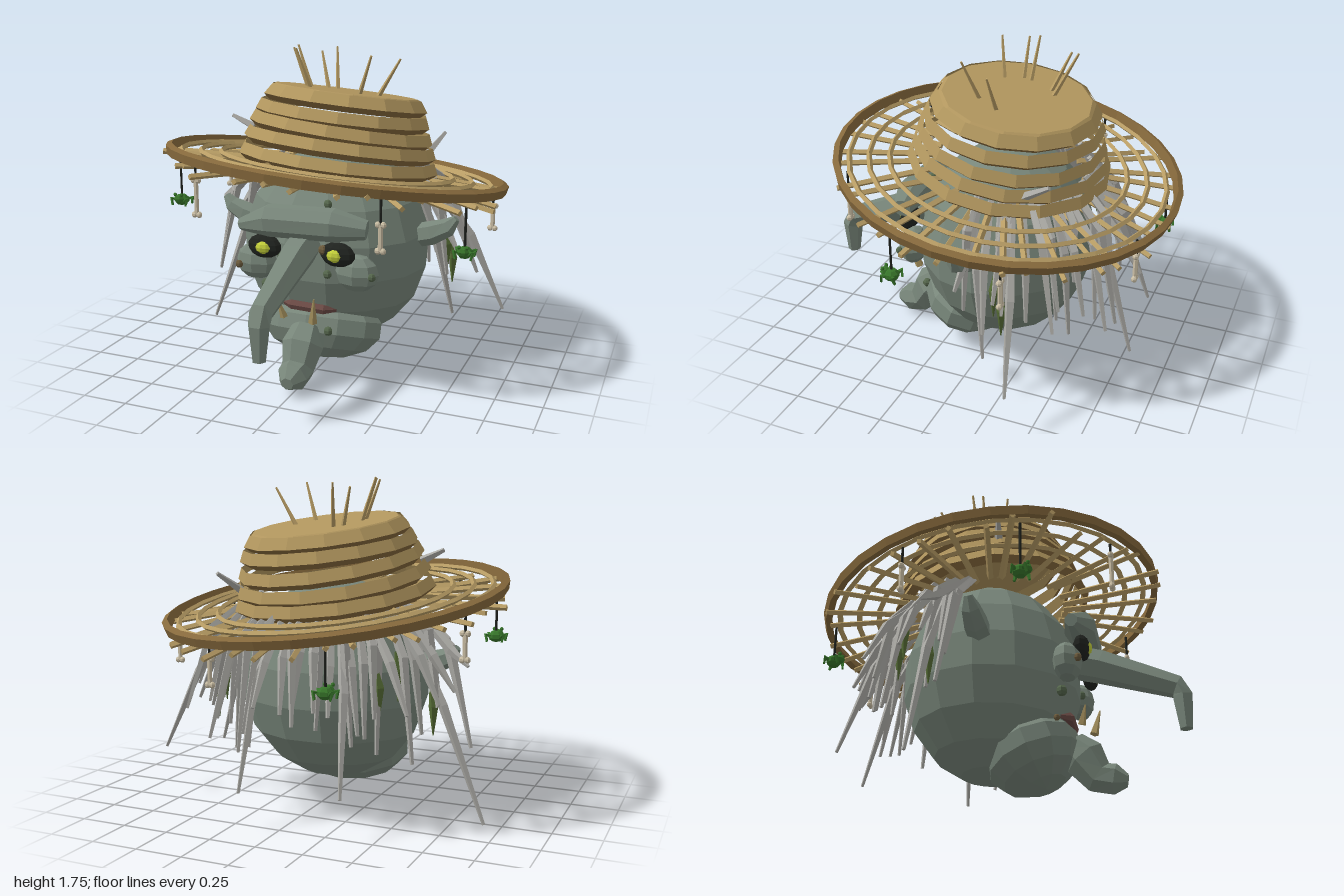
import * as THREE from 'three';

const V = (x, y, z) => new THREE.Vector3(x, y, z);
const mat = (color, side = THREE.FrontSide) => new THREE.MeshStandardMaterial({ color, flatShading: true, side });
const skin = mat(0x78867a), straw = mat(0xb1965e, THREE.DoubleSide), darkStraw = mat(0x86693c), paleStraw = mat(0xb79c64);
const hairMat = mat(0xabaaa5), black = mat(0x20231f), yellow = mat(0xc3cf3a), bone = mat(0xcbbfa5), lip = mat(0x6b4a45);
const frogGreen = mat(0x37752a), leafGreen = mat(0x556b35), wartBrown = mat(0x6b5a3c), wartGreen = mat(0x55664c), toothMat = mat(0xa8935f);

let seed = 11;
const rnd = (a = 0, b = 1) => {
  seed = (seed * 16807) % 2147483647;
  return a + (b - a) * seed / 2147483647;
};

function add(parent, name, geometry, material, pos) {
  const m = new THREE.Mesh(geometry, material);
  m.name = name;
  if (pos) m.position.copy(pos);
  parent.add(m);
  return m;
}

// Low-poly ellipsoid
function blob(parent, name, pos, r, material, w = 8, h = 6) {
  const g = new THREE.SphereGeometry(1, w, h);
  g.scale(r.x, r.y, r.z);
  return add(parent, name, g, material, pos);
}

// Capped limb through a few points, with one radius per point
function limb(parent, name, pts, radii, material, sides = 5) {
  const pos = [], idx = [], n = pts.length;
  let u = V(1, 0.013, 0.021);
  pts.forEach((p, i) => {
    const t = pts[Math.min(i + 1, n - 1)].clone().sub(pts[Math.max(i - 1, 0)]).normalize();
    u = u.clone().addScaledVector(t, -u.dot(t)).normalize();
    const v = t.clone().cross(u);
    for (let j = 0; j < sides; j++) {
      const a = j / sides * Math.PI * 2;
      const q = p.clone().addScaledVector(u, Math.cos(a) * radii[i]).addScaledVector(v, Math.sin(a) * radii[i]);
      pos.push(q.x, q.y, q.z);
    }
  });
  for (let i = 0; i < n - 1; i++) for (let j = 0; j < sides; j++) {
    const a = i * sides + j, b = i * sides + (j + 1) % sides;
    idx.push(a, b, a + sides, b, b + sides, a + sides);
  }
  const e = (n - 1) * sides;
  for (let j = 1; j < sides - 1; j++) idx.push(0, j + 1, j, e, e + j, e + j + 1);
  const g = new THREE.BufferGeometry();
  g.setAttribute('position', new THREE.Float32BufferAttribute(pos, 3));
  g.setIndex(idx);
  g.computeVertexNormals();
  return add(parent, name, g, material);
}

function makeHead() {
  const head = new THREE.Group();
  head.name = 'head';
  blob(head, 'skull', V(0, 0.67, -0.06), V(0.53, 0.55, 0.485), skin, 14, 9);
  const jaw = blob(head, 'jaw', V(0, 0.25, 0.16), V(0.35, 0.19, 0.265), skin, 12, 7);
  jaw.rotation.x = -0.35;
  limb(head, 'chin', [V(0, 0.29, 0.36), V(0, 0.22, 0.43), V(0, 0.115, 0.5), V(0, 0.1, 0.58), V(0, 0.09, 0.645)],
    [0.09, 0.115, 0.09, 0.083, 0.035], skin, 7);
  limb(head, 'nose', [V(0, 0.79, 0.33), V(0, 0.735, 0.53), V(0, 0.585, 0.93), V(0, 0.53, 0.955), V(0, 0.35, 0.96)],
    [0.095, 0.092, 0.062, 0.058, 0.036], skin, 6);
  limb(head, 'brow', [V(-0.355, 0.855, 0.42), V(-0.18, 0.9, 0.445), V(0.18, 0.91, 0.445), V(0.35, 0.895, 0.42)],
    [0.035, 0.087, 0.087, 0.05], skin, 8);

  // Lips and crooked teeth
  limb(head, 'lips', [V(-0.19, 0.405, 0.29), V(-0.09, 0.42, 0.365), V(0.09, 0.415, 0.365), V(0.18, 0.405, 0.29)],
    [0.01, 0.028, 0.028, 0.01], lip, 6);
  limb(head, 'toothRight', [V(-0.11, 0.37, 0.43), V(-0.135, 0.47, 0.455)], [0.022, 0.004], toothMat);
  limb(head, 'toothLeft', [V(0.075, 0.38, 0.475), V(0.095, 0.52, 0.51)], [0.025, 0.004], toothMat);

  for (const s of [1, -1]) {
    blob(head, 'eyeSocket', V(s * 0.205, 0.76, 0.455), V(0.096, 0.065, 0.045), black, 10, 7);
    blob(head, 'eye', V(s * 0.2, 0.76, 0.475), V(0.05, 0.038, 0.036), yellow, 9, 6);
    blob(head, 'cheek', V(s * 0.285, 0.65, 0.385), V(0.12, 0.1, 0.08), skin, 8, 6);
    limb(head, 'ear', [V(s * 0.44, 0.75, -0.03), V(s * 0.56, 0.78, -0.035), V(s * 0.65, 0.82, -0.04), V(s * 0.69, 0.87, -0.045)],
      [0.065, 0.065, 0.05, 0.022], skin, 6);
  }

  // Warts: x, y, z, radius, brown?
  [[-0.25, 0.51, 0.35, 0.03, 0], [-0.36, 0.64, 0.45, 0.022, 1], [-0.13, 0.7, 0.41, 0.024, 0], [0.13, 0.78, 0.47, 0.026, 1],
    [0.13, 0.63, 0.41, 0.024, 0], [0.13, 0.31, 0.4, 0.025, 0], [0.11, 0.99, 0.35, 0.024, 0], [-0.24, 0.37, 0.32, 0.018, 1],
    [0.38, 0.65, 0.43, 0.022, 0]].forEach(([x, y, z, r, brown]) =>
    blob(head, 'wart', V(x, y, z), V(r, r, r), brown ? wartBrown : wartGreen, 6, 5));
  return head;
}

function makeHat() {
  const hat = new THREE.Group();
  hat.name = 'hat';
  hat.position.set(0, 1.1, -0.06);
  hat.rotation.set(-0.14, 0, -0.077);

  // Crown of stacked bands, each set slightly askew on a dark flared joint
  [0.555, 0.535, 0.51, 0.485, 0.455].forEach((r, i) => {
    const tier = new THREE.Group(), top = r - (i < 4 ? 0.025 : 0.04);
    tier.name = 'crownTier';
    tier.position.y = 0.025 + i * 0.082;
    tier.rotation.set(i ? rnd(-0.025, 0.025) : 0, i * 0.1, i ? rnd(-0.025, 0.025) : 0);
    add(tier, 'band', new THREE.CylinderGeometry(top, r, 0.058, 14, 1, true), straw, V(0, 0.029, 0));
    add(tier, 'joint', new THREE.CylinderGeometry(r, r - 0.035, 0.03, 14, 1, true), darkStraw, V(0, -0.015, 0));
    hat.add(tier);
  });
  add(hat, 'crownTop', new THREE.CylinderGeometry(0.395, 0.42, 0.02, 14), straw, V(0, 0.405, 0));

  // Open woven brim
  const rim = [[0.9, -0.02], [0.935, -0.025], [0.945, 0.02], [0.915, 0.035], [0.9, -0.02]].map(p => new THREE.Vector2(...p));
  add(hat, 'brimRim', new THREE.LatheGeometry(rim, 32), darkStraw);
  for (const [r, y] of [[0.86, 0.0], [0.755, 0.005], [0.645, 0.01]])
    add(hat, 'brimRing', new THREE.TorusGeometry(r, 0.015, 4, 28).rotateX(Math.PI / 2), paleStraw, V(0, y, 0));
  for (let i = 0; i < 36; i++) {
    const a = i / 36 * Math.PI * 2 + rnd(-0.025, 0.025), b = a + rnd(-0.025, 0.025), r = rnd(0.89, 0.96);
    limb(hat, 'brimSpoke', [V(Math.cos(a) * 0.4, rnd(-0.03, 0.01), Math.sin(a) * 0.4),
      V(Math.cos(b) * r, rnd(-0.085, -0.02), Math.sin(b) * r)], [0.019, 0.016], paleStraw, 4);
  }
  return hat;
}

// Bent strands hanging round the sides and back
function makeHair() {
  const hair = new THREE.Group();
  hair.name = 'hair';
  const N = 38;
  for (let i = 0; i < N; i++) {
    const a = (i + rnd(-0.5, 0.5)) / (N - 1) * Math.PI;
    const at = (r, y, da) => V(Math.cos(a + da) * r, y, -0.06 - Math.sin(a + da) * r);
    const d = rnd(-0.1, 0.1), out = rnd(), tipY = rnd(0.34, 0.7);
    limb(hair, 'strand', [at(0.44, rnd(1.06, 1.14), 0), at(0.56 + out * 0.12, rnd(0.82, 0.98), d / 2), at(0.6 + out * 0.22, tipY, d)],
      [0.018, 0.026, 0.01], hairMat, 4);
  }
  // Long strands
  [[[-0.42, 1.1, -0.2], [-0.68, 0.6, -0.25], [-0.91, 0.01, -0.27]], [[0.42, 1.1, -0.25], [0.7, 0.7, -0.35], [0.89, 0.26, -0.4]],
    [[0.1, 1.05, -0.48], [0.16, 0.75, -0.68], [0.18, 0.2, -0.84]], [[-0.2, 1.05, -0.45], [-0.3, 0.7, -0.64], [-0.35, 0.22, -0.8]],
    [[0.45, 1.08, -0.05], [0.56, 0.75, -0.11], [0.65, 0.28, -0.18]], [[-0.45, 1.1, -0.1], [-0.7, 0.88, -0.2], [-0.81, 0.81, -0.25]]
  ].forEach(p => limb(hair, 'longStrand', p.map(q => V(...q)), [0.018, 0.026, 0.009], hairMat, 4));

  // Stray tufts through the hat
  limb(hair, 'tuft', [V(-0.45, 1.31, 0.06), V(-0.57, 1.37, 0.08)], [0.026, 0.012], hairMat, 4);
  limb(hair, 'tuft', [V(0.44, 1.15, -0.32), V(0.5, 1.25, -0.47)], [0.024, 0.012], hairMat, 4);
  return hair;
}

// Small hanging charm: body, head, eyes and splayed legs
function makeFrog(x, y, z, top) {
  const frog = new THREE.Group();
  frog.name = 'frogCharm';
  frog.position.set(x, y, z);
  limb(frog, 'string', [V(0, 0, 0), V(0, top - y, 0)], [0.007, 0.007], black, 4);
  blob(frog, 'frogBody', V(0, 0, 0), V(0.042, 0.033, 0.042), frogGreen, 7, 5);
  blob(frog, 'frogHead', V(0, 0.012, 0.035), V(0.032, 0.024, 0.025), frogGreen, 6, 4);
  for (const s of [1, -1]) {
    blob(frog, 'frogEye', V(s * 0.02, 0.035, 0.04), V(0.011, 0.011, 0.011), frogGreen, 5, 4);
    for (const k of [1, -1])
      limb(frog, 'frogLeg', [V(s * 0.025, 0, k * 0.02), V(s * 0.05, 0.01, k * 0.03), V(s * 0.04, -0.028, k * 0.038)],
        [0.012, 0.011, 0.007], frogGreen, 4);
  }
  return frog;
}

function makeBone(x, y, z, top, len = 0.13) {
  const g = new THREE.Group();
  g.name = 'boneCharm';
  g.position.set(x, y, z);
  limb(g, 'string', [V(0, len, 0), V(0, top - y, 0)], [0.007, 0.007], black, 4);
  limb(g, 'boneShaft', [V(0, 0, 0), V(0, len, 0)], [0.013, 0.013], bone, 6);
  for (const h of [0, len]) for (const s of [1, -1])
    blob(g, 'boneKnob', V(s * 0.013, h, 0), V(0.017, 0.017, 0.017), bone, 6, 5);
  return g;
}

export function createModel() {
  const model = new THREE.Group();
  model.name = 'witchHead';
  model.add(makeHead(), makeHat(), makeHair());

  // Loose straws on the crown: base x, z, tip x, z, y
  [[-0.08, -0.27, -0.13, -0.39, 1.72], [-0.12, -0.24, -0.2, -0.33, 1.7], [-0.16, -0.11, -0.26, -0.13, 1.75],
    [-0.16, -0.07, -0.26, -0.07, 1.74], [-0.11, 0.01, -0.19, 0.06, 1.75], [0.22, -0.08, 0.35, -0.08, 1.7],
    [0.15, 0.03, 0.25, 0.1, 1.73]].forEach(([x, z, tx, tz, ty]) =>
    limb(model, 'looseStraw', [V(x, 1.48, z), V(tx, ty, tz)], [0.014, 0.006], paleStraw, 4));

  model.add(makeFrog(-0.82, 0.9, 0.24, 1.17), makeFrog(0.81, 0.78, 0.24, 1.05), makeFrog(-0.31, 0.75, -0.87, 0.98));
  model.add(makeBone(-0.49, 0.95, 0.65, 1.2, 0.18), makeBone(0.5, 0.87, 0.65, 1.14), makeBone(-0.82, 0.86, -0.35, 1.1),
    makeBone(0.82, 0.75, -0.35, 0.98), makeBone(0.31, 0.74, -0.87, 0.96));

  // Leaves caught in the hair: x, y, z
  [[-0.63, 0.56, -0.25], [0.62, 0.55, -0.27], [-0.42, 0.68, -0.47], [-0.5, 0.76, -0.42], [0.6, 0.64, -0.22]].forEach(([x, y, z]) =>
    limb(model, 'leaf', [V(x * 0.97, y + 0.13, z), V(x, y + 0.03, z), V(x, y - 0.12, z)], [0.004, 0.026, 0.003], leafGreen, 4));
  return model;
}
